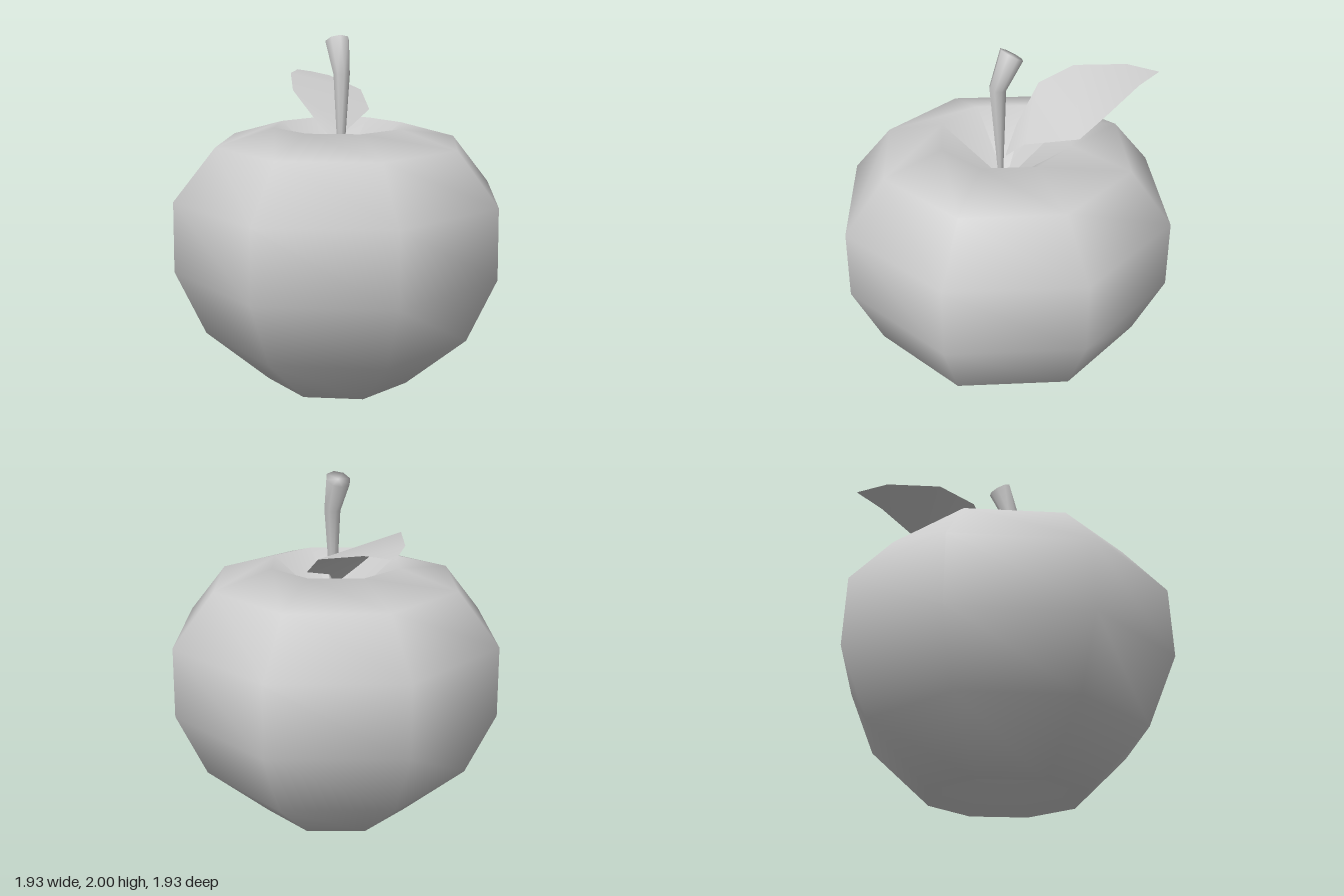
import * as THREE from 'three';
import { mergeVertices } from 'three/addons/utils/BufferGeometryUtils.js';

const grey = new THREE.MeshStandardMaterial({ color: 0xcccccc });
const greyThin = new THREE.MeshStandardMaterial({ color: 0xcccccc, side: THREE.DoubleSide });

function part(name, geometry, material = grey) {
  const mesh = new THREE.Mesh(geometry, material);
  mesh.name = name;
  return mesh;
}

// Eight-sided fruit with a hollow at the top and the bottom
function fruitBody() {
  const profile = [
    [0, 0.28], [0.44, 0], [0.8, 0.33], [0.965, 0.71],
    [0.955, 1.11], [0.715, 1.4], [0.38, 1.495], [0, 1.2],
  ].map(([r, y]) => new THREE.Vector2(r, y));
  return new THREE.LatheGeometry(profile, 8);
}

// Tapered stem: rings of [y, z, radius, backward tilt], from top to bottom
function stem() {
  const rings = [
    [1.965, -0.035, 0.07, -0.53],
    [1.785, 0.047, 0.048, -0.1],
    [1.2, 0.03, 0.012, 0],
  ];
  let g = new THREE.CylinderGeometry(1, 1, 2, 8, 2);
  const p = g.attributes.position;
  for (let i = 0; i < p.count; i++) {
    const [y, z, r, tilt] = rings[Math.round(1 - p.getY(i))];
    const x = p.getX(i) * r, d = p.getZ(i) * r;
    p.setXYZ(i, x, y - d * Math.sin(tilt), z + d * Math.cos(tilt));
  }
  g.deleteAttribute('uv');
  g.deleteAttribute('normal');
  g = mergeVertices(g);
  g.computeVertexNormals();
  return g;
}

// Thin arched leaf: cross-rows of left edge and right edge, from base to tip
function leaf() {
  const rows = [
    [[0, 1.37, 0], [0.01, 1.37, 0]],
    [[-0.09, 1.49, -0.11], [0.07, 1.45, -0.08]],
    [[-0.19, 1.67, -0.3], [0.29, 1.54, -0.3]],
    [[-0.15, 1.755, -0.5], [0.29, 1.645, -0.46]],
    [[-0.03, 1.755, -0.78], [0.17, 1.715, -0.74]],
    [[0.09, 1.73, -0.92], [0.095, 1.73, -0.92]],
  ];
  const index = [];
  for (let i = 0; i < rows.length - 1; i++) {
    const a = i * 2;
    index.push(a, a + 1, a + 2, a + 1, a + 3, a + 2);
  }
  const g = new THREE.BufferGeometry();
  g.setAttribute('position', new THREE.Float32BufferAttribute(rows.flat(2), 3));
  g.setIndex(index);
  g.computeVertexNormals();
  return g;
}

export function createModel() {
  const model = new THREE.Group();
  model.name = 'apple';
  model.add(
    part('fruitBody', fruitBody()),
    part('stem', stem()),
    part('leaf', leaf(), greyThin),
  );
  return model;
}
